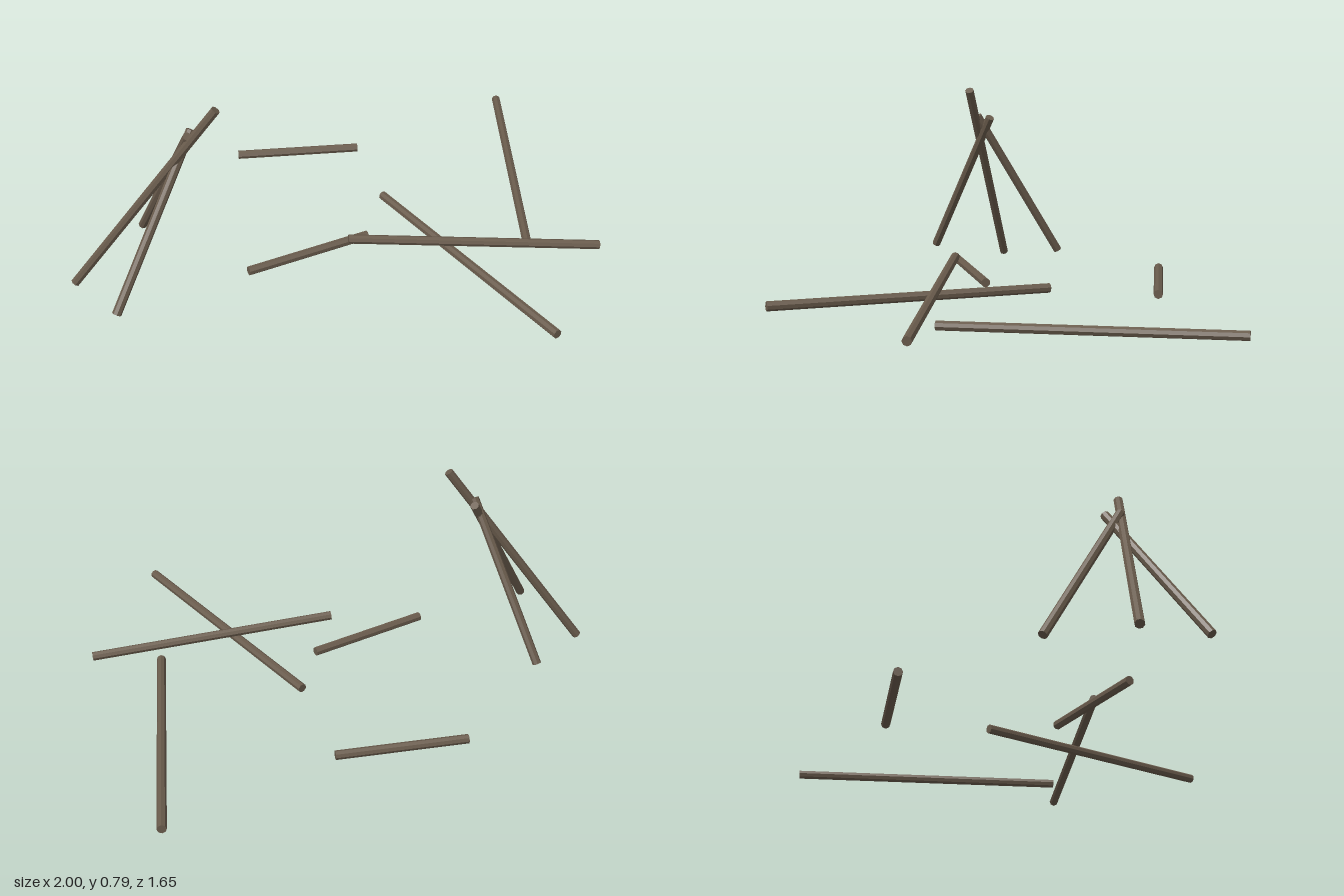
import * as THREE from 'three';

const RADIUS = 0.0175;
const SIDES = 8;

export function createModel() {
  const model = new THREE.Group();
  model.name = 'scatteredPoles';

  const wood = new THREE.MeshStandardMaterial({ color: 0x695b4c, flatShading: true });
  wood.name = 'weathered wood';

  // A straight pole between two end points
  function addPole(parent, name, from, to) {
    const a = new THREE.Vector3(...from);
    const b = new THREE.Vector3(...to);
    const dir = b.clone().sub(a);
    const pole = new THREE.Mesh(
      new THREE.CylinderGeometry(RADIUS, RADIUS, dir.length(), SIDES), wood);
    pole.name = name;
    pole.position.copy(a).add(b).multiplyScalar(0.5);
    pole.quaternion.setFromUnitVectors(new THREE.Vector3(0, 1, 0), dir.normalize());
    parent.add(pole);
  }

  // Three poles leaning together
  const tripod = new THREE.Group();
  tripod.name = 'tripod';
  addPole(tripod, 'tripodLongPole', [-0.986, 0.012, 0.237], [-0.428, 0.783, 0.297]);
  addPole(tripod, 'tripodFrontPole', [-0.815, 0.073, 0.514], [-0.52, 0.664, 0.227]);
  addPole(tripod, 'tripodBackPole', [-0.738, 0.073, -0.032], [-0.532, 0.669, 0.281]);

  // Poles lying nearly flat
  const fallen = new THREE.Group();
  fallen.name = 'fallenPoles';
  addPole(fallen, 'shortBackPole', [-0.355, 0.084, -0.482], [0.143, 0.084, -0.501]);
  addPole(fallen, 'shortFrontPole', [-0.335, 0.106, 0.338], [0.123, 0.106, 0.147]);
  addPole(fallen, 'crossingUpperPole', [0.04, 0.187, 0.277], [0.997, 0.099, 0.266]);
  addPole(fallen, 'crossingLowerPole', [0.209, 0.112, -0.104], [0.723, 0.134, 0.812]);
  addPole(fallen, 'longSidePole', [0.73, 0.087, 0.223], [0.785, 0.098, -0.825]);

  model.add(tripod, fallen);
  return model;
}
